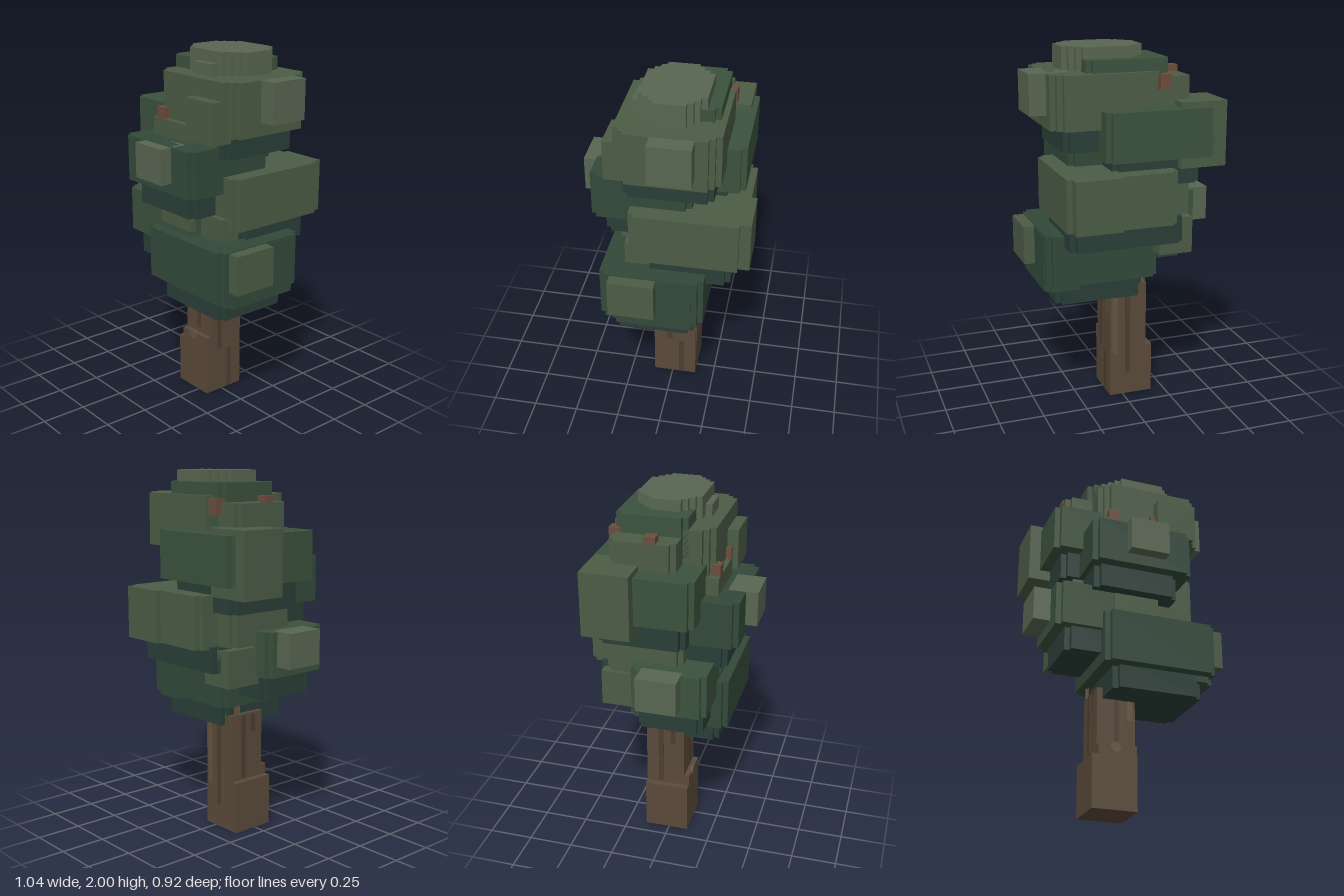
import * as THREE from 'three';

const COLORS = {
  shade: 0x2a3e37, deep: 0x33493a, mid: 0x3c523d, light: 0x4b5c45, pale: 0x586651,
  bark: 0x5a4a3a, barkDark: 0x4c3e30, barkLight: 0x665442, twig: 0x6b4d3c,
};
const materials = {};
for (const key in COLORS) {
  materials[key] = new THREE.MeshStandardMaterial({ color: COLORS[key], flatShading: true });
}

export function createModel() {
  const tree = new THREE.Group();
  tree.name = 'blockyTree';

  function add(name, geometry, color) {
    const mesh = new THREE.Mesh(geometry, materials[color]);
    mesh.name = name;
    tree.add(mesh);
    return mesh;
  }

  // Plain block given by its limits
  function block(name, color, x0, x1, y0, y1, z0, z1) {
    const g = new THREE.BoxGeometry(x1 - x0, y1 - y0, z1 - z0);
    g.translate((x0 + x1) / 2, (y0 + y1) / 2, (z0 + z1) / 2);
    add(name, g, color);
  }

  // Leaf slab whose upright corners are cut back in square steps
  function slab(name, color, x0, x1, y0, y1, z0, z1, steps = 1) {
    const n = 0.03, cx = (x0 + x1) / 2, cz = (z0 + z1) / 2;
    const w = (x1 - x0) / 2, d = (z1 - z0) / 2;
    const corner = [];
    for (let i = 0; i <= steps; i++) {
      corner.push([w - i * n, d - (steps - i) * n]);
      if (i < steps) corner.push([w - (i + 1) * n, d - (steps - i) * n]);
    }
    const flip = [...corner].reverse();
    const outline = [
      ...corner,
      ...flip.map(([a, b]) => [-a, b]),
      ...corner.map(([a, b]) => [-a, -b]),
      ...flip.map(([a, b]) => [a, -b]),
    ];
    const shape = new THREE.Shape(outline.map(([a, b]) => new THREE.Vector2(cx + a, -cz + b)));
    const g = new THREE.ExtrudeGeometry(shape, { depth: y1 - y0, bevelEnabled: false });
    g.rotateX(-Math.PI / 2);
    g.translate(0, y0, 0);
    add(name, g, color);
  }

  // Trunk with a thicker foot
  block('trunk', 'bark', -0.14, 0.075, 0, 0.67, -0.14, 0.08);
  block('trunkFootFront', 'bark', -0.14, 0.075, 0, 0.35, 0.08, 0.11);
  block('trunkFootSide', 'bark', -0.175, -0.14, 0, 0.29, -0.14, 0.11);

  // Bark streaks and knot
  const e = 0.002;
  for (const [color, x, y0, y1] of [['barkDark', -0.03, 0.38, 0.62], ['barkLight', 0.045, 0.5, 0.64]]) {
    block('barkStreakFront', color, x - 0.015, x + 0.015, y0, y1, 0.07, 0.08 + e);
    block('barkStreakBack', color, x - 0.015, x + 0.015, y0 - 0.25, y1, -0.14 - e, -0.13);
  }
  for (const [color, z, y0, y1] of [['barkDark', 0.015, 0.26, 0.62], ['barkDark', -0.055, 0, 0.25], ['barkLight', -0.1, 0.5, 0.62]]) {
    block('barkStreakLeft', color, 0.07, 0.075 + e, y0, y1, z - 0.015, z + 0.015);
    block('barkStreakRight', color, -0.14 - e, -0.13, y0 + 0.3, 0.66, z - 0.015, z + 0.015);
  }
  const knot = new THREE.CylinderGeometry(0.03, 0.03, 0.01, 8);
  knot.rotateX(Math.PI / 2);
  add('knot', knot, 'barkLight').position.set(-0.045, 0.335, 0.108);

  // Lowest tier
  slab('lowestShade', 'shade', -0.11, 0.39, 0.61, 0.76, -0.17, 0.27);
  slab('lowestLeaves', 'deep', -0.175, 0.455, 0.735, 1.02, -0.23, 0.33);
  slab('lowestDrop', 'deep', 0.24, 0.46, 0.70, 1.01, -0.20, 0.27);
  block('lowestTuft', 'light', 0.4, 0.52, 0.8, 1.015, 0.02, 0.27);

  // Right tier
  slab('rightShade', 'shade', -0.37, 0.1, 0.8, 0.95, -0.12, 0.24);
  slab('rightLeaves', 'mid', -0.43, 0.15, 0.93, 1.175, -0.14, 0.27);
  block('rightTuft', 'pale', -0.525, -0.4, 0.99, 1.18, -0.08, 0.14);
  block('rightBackTuft', 'light', -0.33, -0.14, 0.89, 1.09, -0.33, -0.1);
  slab('rightInnerLeaves', 'light', -0.33, 0.0, 1.1, 1.32, -0.3, 0.12);
  block('innerFrontLeaves', 'light', -0.11, 0.14, 1.05, 1.16, 0.1, 0.275);
  block('innerLeftLeaves', 'light', 0.1, 0.33, 0.98, 1.15, -0.1, 0.21);

  // Back tier
  slab('backShade', 'shade', -0.27, 0.36, 0.96, 1.1, -0.36, 0.1);
  slab('backLeaves', 'light', -0.21, 0.395, 1.085, 1.37, -0.43, 0.18);
  block('backTuft', 'light', 0.11, 0.365, 1.085, 1.37, -0.46, -0.1);

  // Front tier
  slab('frontShade', 'shade', -0.24, 0.235, 1.15, 1.3, -0.12, 0.335);
  slab('frontLeaves', 'deep', -0.27, 0.3, 1.28, 1.53, -0.14, 0.395);
  block('frontTuft', 'pale', -0.08, 0.14, 1.34, 1.53, 0.3, 0.46);
  block('frontUpperLeaves', 'light', -0.175, 0.14, 1.5, 1.625, 0, 0.27);

  // Upper right tier
  slab('upperRightShade', 'shade', -0.37, 0.12, 1.28, 1.45, -0.33, 0.14);
  slab('upperRightLeaves', 'mid', -0.43, 0.175, 1.43, 1.69, -0.4, 0.2);
  block('upperRightTuft', 'light', -0.495, -0.24, 1.37, 1.72, -0.37, -0.11);

  // Upper left tier
  slab('upperLeftShade', 'shade', -0.12, 0.36, 1.47, 1.61, -0.26, 0.21);
  slab('upperLeftLeaves', 'light', -0.18, 0.43, 1.59, 1.875, -0.3, 0.24, 2);
  block('upperLeftTuft', 'pale', 0.3, 0.52, 1.66, 1.875, -0.175, 0.045);
  block('upperFrontTuft', 'light', 0.14, 0.36, 1.56, 1.78, 0.1, 0.3);

  // Crown
  slab('crownSideLeaves', 'light', -0.335, 0.05, 1.66, 1.84, -0.27, 0.08);
  slab('crownLeaves', 'mid', -0.21, 0.24, 1.72, 1.94, -0.27, 0.11);
  slab('crownTop', 'pale', -0.11, 0.33, 1.88, 2, -0.205, 0.14, 3);
  block('crownTuft', 'pale', 0.05, 0.2, 1.86, 1.94, 0.05, 0.175);

  // Twigs poking through the leaves
  block('twig', 'twig', -0.333, -0.273, 1.8, 1.875, -0.08, -0.02);
  block('twig', 'twig', -0.205, -0.145, 1.78, 1.86, -0.305, -0.24);
  block('twig', 'twig', -0.14, -0.08, 1.62, 1.685, 0.22, 0.27);
  block('twig', 'twig', 0.11, 0.145, 1.62, 1.685, 0.22, 0.27);

  return tree;
}
